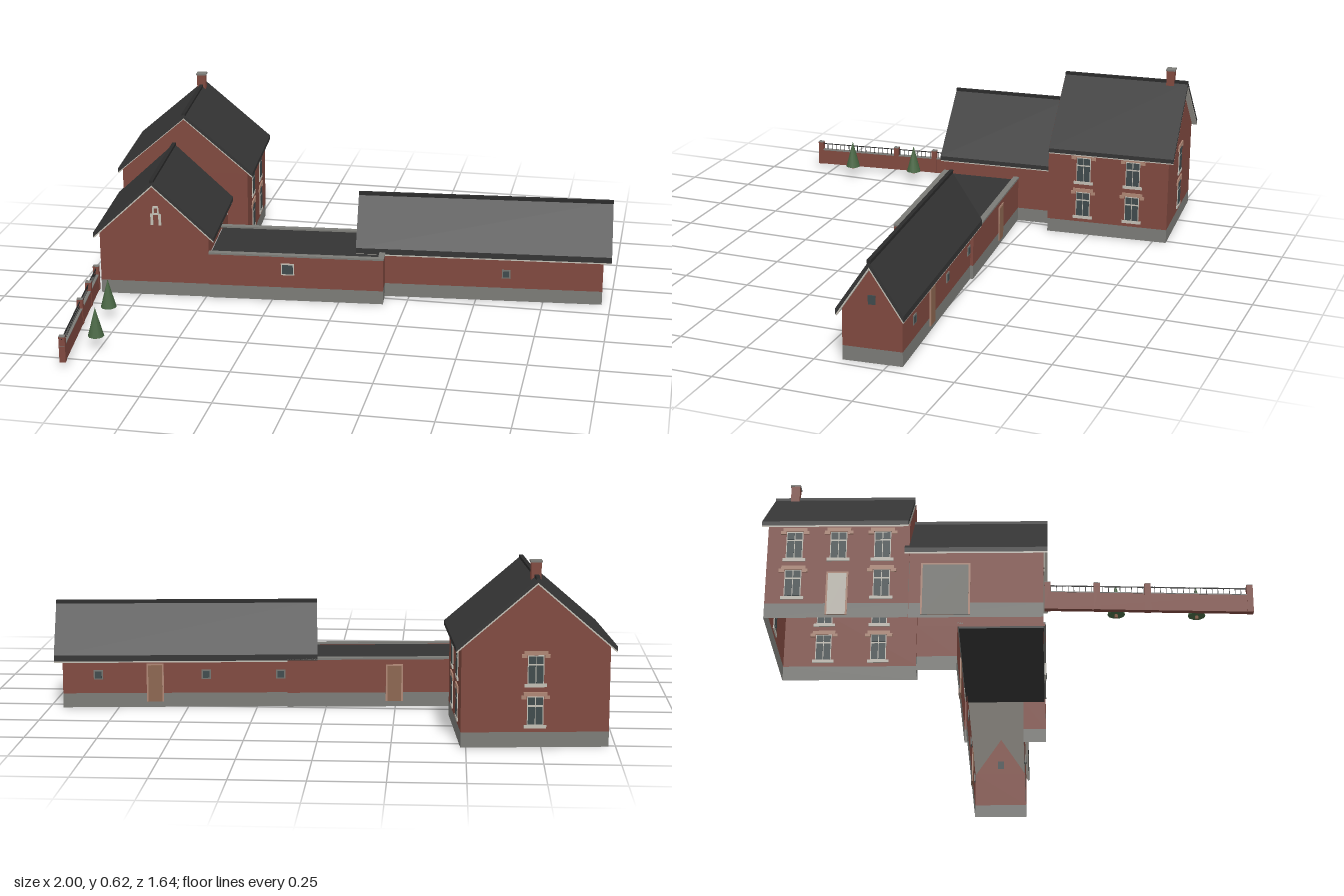
import * as THREE from 'three';

const mat = (name, color, both) => {
  const m = new THREE.MeshStandardMaterial({ color });
  m.name = name;
  if (both) m.side = THREE.DoubleSide;
  return m;
};

export function createModel() {
  const M = {
    brick: mat('brick', 0x80493f, true),
    stone: mat('plinth stone', 0x7b7b77, true),
    slate: mat('slate', 0x343434),
    trim: mat('pale trim', 0xc2beb4),
    lintel: mat('lintel', 0xae8674),
    glass: mat('glass', 0x3f4a4c),
    gate: mat('grey door', 0x74746f),
    door: mat('brown door', 0x8c6650),
    leaf: mat('leaf', 0x486643),
    iron: mat('iron', 0x2a2a2a),
  };
  const root = new THREE.Group();
  const S = 0, N = Math.PI, E = Math.PI / 2, W = -Math.PI / 2;
  const PLINTH = 0.052;

  const add = (parent, name, geo, material, x = 0, y = 0, z = 0) => {
    const m = new THREE.Mesh(geo, material);
    m.name = name;
    m.position.set(x, y, z);
    parent.add(m);
    return m;
  };
  const box = (parent, name, material, w, h, d, x, y, z) =>
    add(parent, name, new THREE.BoxGeometry(w, h, d), material, x, y, z);
  const group = (parent, name, x = 0, y = 0, z = 0, ry = 0) => {
    const g = new THREE.Group();
    g.name = name;
    g.position.set(x, y, z);
    g.rotation.y = ry;
    parent.add(g);
    return g;
  };
  const polygon = pts => new THREE.Shape(pts.map(p => new THREE.Vector2(...p)));
  const panel = (parent, name, material, pts) => add(parent, name, new THREE.ShapeGeometry(polygon(pts)), material);
  const rect = (x0, x1, y0, y1) => [[x0, y0], [x1, y0], [x1, y1], [x0, y1]];

  // Four upright walls without floor; an opening [a, b, h] joins the next building
  const walls = (parent, w, d, top, openings = {}) => {
    const sides = { S: [S, w, d], N: [N, w, d], E: [E, d, w], W: [W, d, w] };
    for (const [key, [ry, len, depth]] of Object.entries(sides)) {
      const r = len / 2;
      const [a, b, h] = openings[key] || [r, r, PLINTH];
      const side = group(group(parent, 'side', 0, 0, 0, ry), 'wall', 0, 0, depth / 2);
      panel(side, 'upperWall', M.brick, rect(-r, r, h, top));
      for (const [x0, x1] of [[-r, a], [b, r]]) {
        if (x1 - x0 < 0.001) continue;
        panel(side, 'plinth', M.stone, rect(x0, x1, 0, PLINTH));
        if (h > PLINTH) panel(side, 'lowerWall', M.brick, rect(x0, x1, PLINTH, h));
      }
    }
  };

  // Chevron slab running along z
  const chevron = (parent, name, material, rw, yE, yR, t, len) => {
    const s = polygon([[-rw, yE], [0, yR], [rw, yE], [rw, yE - t], [0, yR - t], [-rw, yE - t]]);
    const geo = new THREE.ExtrudeGeometry(s, { depth: len, bevelEnabled: false });
    return add(parent, name, geo, material, 0, 0, -len / 2);
  };

  // Gabled building with its ridge along local z
  const building = (parent, name, o) => {
    const g = group(parent, name, o.x, 0, o.z, o.ry || 0);
    const slope = (o.ridge - o.eave) / o.rw;
    const t = 0.012 * Math.hypot(1, slope), under = t * 0.4;
    const peak = o.ridge - t - under / 2, top = peak - slope * o.w;
    walls(g, o.w * 2, o.len, top, o.openings);
    for (const s of [1, -1]) {
      const gable = panel(g, 'gable', M.brick, [[-o.w, top], [o.w, top], [0, peak]]);
      gable.position.z = s * o.len / 2;
      if (s < 0) gable.rotation.y = Math.PI;
    }
    const roof = group(g, 'roof', 0, 0, o.shift || 0);
    chevron(roof, 'slates', M.slate, o.rw, o.eave, o.ridge, t, o.roofLen);
    chevron(roof, 'soffit', M.trim, o.rw - 0.002, o.eave - t + slope * 0.002, o.ridge - t, under, o.roofLen - 0.001);
    box(roof, 'ridgeTiles', M.iron, 0.014, 0.012, o.roofLen, 0, o.ridge - 0.002, 0);
    return g;
  };

  // Sash window with a shallow arched lintel and a sill; y is the bottom
  const sash = (parent, x, y, z, ry, w = 0.055, h = 0.098) => {
    const g = group(parent, 'sashWindow', x, y, z, ry);
    box(g, 'frame', M.trim, w, h, 0.006, 0, h / 2, 0);
    for (const sx of [-1, 1]) for (const r of [0, 1])
      box(g, 'pane', M.glass, w * 0.42, r ? h * 0.26 : h * 0.62, 0.008, sx * w * 0.235, r ? h * 0.84 : h * 0.34, 0);
    box(g, 'lintel', M.lintel, w + 0.024, 0.014, 0.009, 0, h + 0.008, 0);
    for (const sx of [-1, 1]) box(g, 'lintelEnd', M.lintel, 0.018, 0.012, 0.009, sx * (w / 2 + 0.011), h - 0.002, 0);
    box(g, 'sill', M.trim, w + 0.02, 0.011, 0.009, 0, -0.004, 0);
  };
  const smallWindow = (parent, x, y, z, ry, w, h, frame) => {
    const g = group(parent, 'smallWindow', x, y, z, ry);
    box(g, 'frame', frame, w, h, 0.006, 0, 0, 0);
    box(g, 'pane', M.glass, w - 0.01, h - 0.01, 0.009, 0, 0, 0);
  };
  const door = (parent, name, material, x, z, ry, w, h, y0 = 0.01) => {
    const g = group(parent, name, x, y0, z, ry);
    box(g, 'frame', M.lintel, w + 0.012, h + 0.006, 0.006, 0, h / 2 + 0.003, 0);
    box(g, 'leaf', material, w, h, 0.009, 0, h / 2, 0);
  };

  const site = group(root, 'buildings', 0, 0, 0, 0.083);

  // Tall house
  const house = building(site, 'house', {
    x: -0.662, z: -0.605, w: 0.248, len: 0.468, rw: 0.268, roofLen: 0.484, shift: -0.012, eave: 0.345, ridge: 0.575,
    openings: { S: [-0.248, 0.167, 0.2] },
  });
  for (const y of [0.075, 0.215]) {
    for (const z of [0.095, -0.097]) sash(house, 0.248, y, z, E);
    for (const z of [0.145, -0.145]) sash(house, -0.248, y, z, W);
    sash(house, 0, y, -0.234, N);
  }
  sash(house, -0.248, 0.215, 0, W);
  door(house, 'frontDoor', M.trim, -0.248, 0, W, 0.06, 0.15);
  const chimney = group(house, 'chimney', 0, 0, -0.186);
  box(chimney, 'stack', M.brick, 0.034, 0.105, 0.03, 0, 0.567, 0);
  box(chimney, 'cap', M.stone, 0.04, 0.006, 0.035, 0, 0.622, 0);

  // Lower wing
  const wing = building(site, 'wing', {
    x: -0.7015, z: -0.151, w: 0.2065, len: 0.438, rw: 0.229, roofLen: 0.469, shift: -0.001, eave: 0.244, ridge: 0.457,
    openings: { N: [-0.2065, 0.2065, 0.2], E: [-0.219, 0.08, 0.165] },
  });
  door(wing, 'wingGate', M.gate, -0.2065, -0.1, W, 0.15, 0.18);
  const slit = group(wing, 'gableWindow', 0.01, 0, 0.219);
  for (const s of [-1, 1]) {
    box(slit, 'jamb', M.trim, 0.01, 0.045, 0.009, s * 0.015, 0.303, 0);
    box(slit, 'headSide', M.trim, 0.006, 0.026, 0.009, s * 0.009, 0.336, 0);
  }
  box(slit, 'head', M.trim, 0.02, 0.008, 0.009, 0, 0.351, 0);
  box(slit, 'bar', M.trim, 0.024, 0.007, 0.009, 0, 0.325, 0);

  // Flat roofed link
  const lw = 0.655, ld = 0.304;
  const link = group(site, 'link', -0.1675, 0, -0.079);
  walls(link, lw, ld, 0.175, { W: [-ld / 2, ld / 2, 0.165], E: [-0.069, 0.141, 0.165] });
  box(link, 'flatRoof', M.slate, lw - 0.01, 0.01, ld - 0.01, 0, 0.165, 0);
  for (const s of [-1, 1]) box(link, 'coping', M.stone, lw, 0.007, 0.022, 0, 0.1775, s * (ld / 2 - 0.009));
  box(link, 'coping', M.stone, 0.022, 0.007, ld, lw / 2 - 0.009, 0.1775, 0);
  smallWindow(link, -0.03, 0.125, ld / 2, S, 0.05, 0.046, M.trim);
  door(link, 'linkDoor', M.door, -0.06, -ld / 2, N, 0.05, 0.13, 0.02);

  // Long barn
  const barn = building(site, 'barn', {
    x: 0.514, z: -0.115, ry: E, w: 0.105, len: 0.917, rw: 0.118, roofLen: 0.951, shift: 0.0125, eave: 0.194, ridge: 0.373,
    openings: { N: [-0.105, 0.105, 0.165], W: [-0.4585, -0.354, 0.165] },
  });
  smallWindow(barn, -0.105, 0.108, 0.1, W, 0.032, 0.034, M.gate);
  for (const z of [0.33, -0.06, -0.33]) smallWindow(barn, 0.105, 0.12, z, E, 0.034, 0.034, M.gate);
  door(barn, 'barnDoor', M.door, 0.105, 0.125, E, 0.05, 0.135, 0.02);
  box(barn, 'loftWindow', M.glass, 0.026, 0.032, 0.009, 0, 0.227, 0.4585);

  // Garden wall with piers and iron railings
  const a = new THREE.Vector2(-0.915, 0.15), b = new THREE.Vector2(-0.828, 0.82);
  const L = a.distanceTo(b);
  const fence = group(root, 'gardenWall', a.x, 0, a.y, Math.atan2(b.x - a.x, b.y - a.y));
  box(fence, 'wall', M.brick, 0.018, 0.06, L, 0, 0.047, L / 2);
  box(fence, 'coping', M.stone, 0.02, 0.003, L, 0, 0.0785, L / 2);
  box(fence, 'rail', M.iron, 0.003, 0.003, L, 0, 0.104, L / 2);
  for (const z of [0.008, 0.168, 0.333, L - 0.01]) {
    box(fence, 'pier', M.brick, 0.022, 0.095, 0.02, 0, 0.0645, z);
    box(fence, 'pierCap', M.stone, 0.022, 0.002, 0.02, 0, 0.113, z);
  }
  for (let i = 1; i < 36; i++) box(fence, 'railing', M.iron, 0.002, 0.028, 0.002, 0, 0.092, (i / 36) * L);

  // Conical trees
  for (const [x, z] of [[-0.8, 0.374], [-0.765, 0.636]]) {
    const tree = group(root, 'tree', x, 0, z);
    add(tree, 'foliage', new THREE.ConeGeometry(0.029, 0.108, 10), M.leaf, 0, 0.098, 0);
    add(tree, 'trunk', new THREE.CylinderGeometry(0.006, 0.006, 0.012, 6), M.door, 0, 0.04, 0);
  }
  return root;
}
